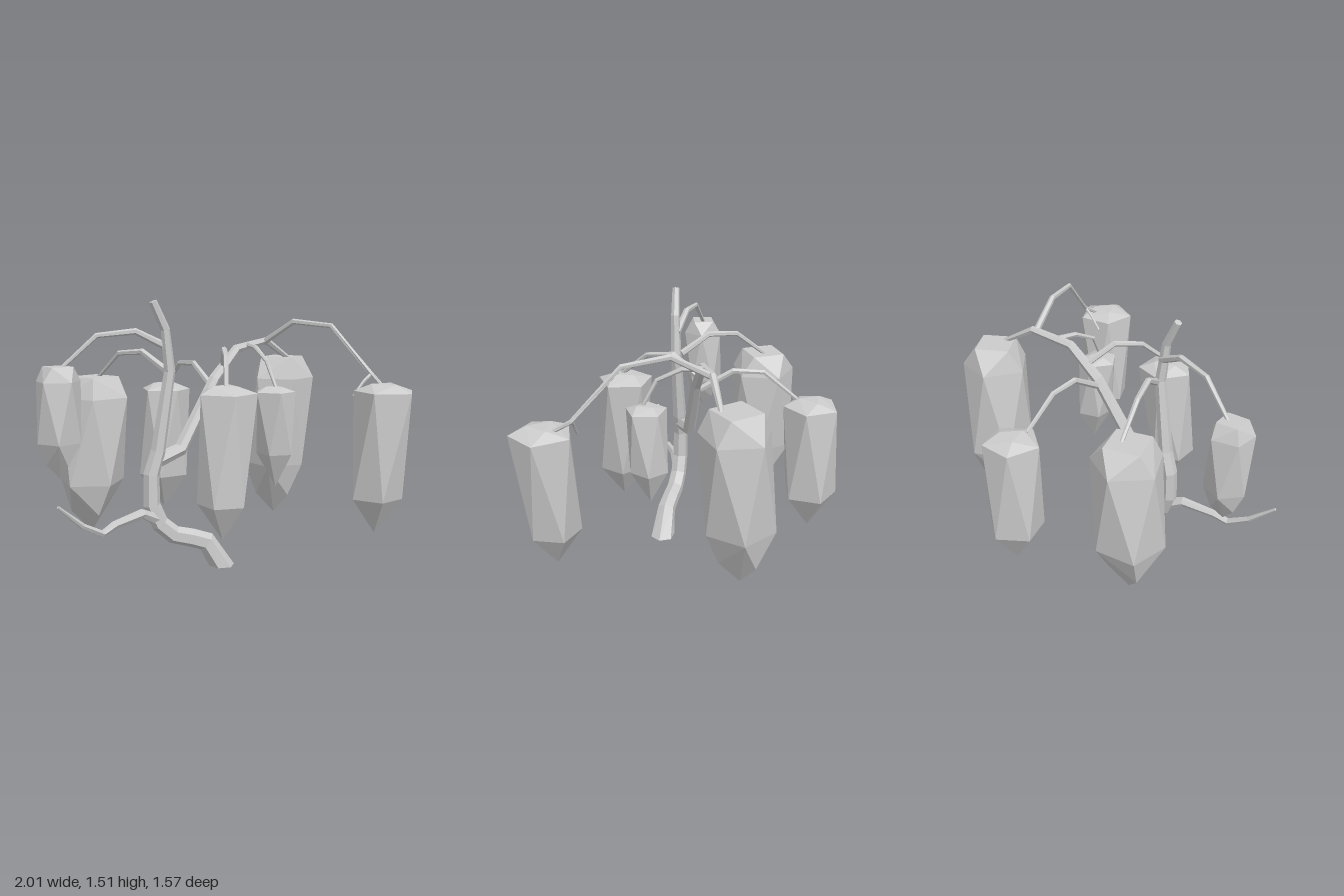
import * as THREE from 'three';
import { ConvexGeometry } from 'three/addons/geometries/ConvexGeometry.js';

const material = new THREE.MeshStandardMaterial({ color: 0xcccccc, flatShading: true });
const UP = new THREE.Vector3(0, 1, 0);

// Six-sided tapering limb swept through stations [x, y, z, radius]
function limb(name, stations) {
  const n = stations.length;
  const pts = stations.map(s => new THREE.Vector3(s[0], s[1], s[2]));
  const turns = pts.map((p, i) => {
    const ahead = pts[Math.min(i + 1, n - 1)].clone().sub(p).normalize();
    const behind = p.clone().sub(pts[Math.max(i - 1, 0)]).normalize();
    return new THREE.Quaternion().setFromUnitVectors(UP, ahead.add(behind).normalize());
  });
  // A limb rooted at ground level is cut flat
  if (pts[0].y === 0) turns[0].identity();
  const geo = new THREE.CylinderGeometry(1, 1, 1, 6, n - 1, false, Math.PI / 6);
  const pos = geo.attributes.position;
  const v = new THREE.Vector3();
  for (let i = 0; i < pos.count; i++) {
    const row = Math.round((pos.getY(i) + 0.5) * (n - 1));
    v.set(pos.getX(i), 0, pos.getZ(i)).multiplyScalar(stations[row][3]);
    v.applyQuaternion(turns[row]).add(pts[row]);
    pos.setXYZ(i, v.x, v.y, v.z);
  }
  geo.computeVertexNormals();
  const mesh = new THREE.Mesh(geo, material);
  mesh.name = name;
  return mesh;
}

// Twig whose radius shrinks evenly along its points
function twig(name, r0, r1, points) {
  const last = points.length - 1;
  return limb(name, points.map((p, i) => [...p, r0 + (r1 - r0) * i / last]));
}

// Pod profiles from the tip up: [height fraction, radius fraction, corner count]
const blunt = (low, lowRadius) => [[0, 0, 1], [low, lowRadius, 5], [0.95, 1, 5], [1, 0.45, 3]];
const ROUND = [[0, 0, 1], [0.13, 0.6, 3], [0.33, 0.98, 5], [0.87, 1, 5], [1, 0.7, 4]];

// Faceted hanging pod; its axis leans from the tip [x, z] to the crown [x, z]
function pod(name, profile, { tip, crown, y, r, spin }) {
  const points = [];
  profile.forEach(([h, radius, count], level) => {
    const t = THREE.MathUtils.smoothstep(h, 0.15, 0.9);
    const cx = THREE.MathUtils.lerp(tip[0], crown[0], t);
    const cz = THREE.MathUtils.lerp(tip[1], crown[1], t);
    for (let i = 0; i < count; i++) {
      const a = THREE.MathUtils.degToRad(spin + 36 * (level % 2)) + i * Math.PI * 2 / count;
      points.push(new THREE.Vector3(
        cx + Math.cos(a) * r * radius, y[0] + (y[1] - y[0]) * h, cz + Math.sin(a) * r * radius));
    }
  });
  const mesh = new THREE.Mesh(new ConvexGeometry(points), material);
  mesh.name = name;
  return mesh;
}

export function createModel() {
  const model = new THREE.Group();
  model.name = 'podTree';

  // Crooked trunk and heavy limbs
  model.add(limb('trunk', [
    [0.02, 0, 0.25, 0.074], [-0.07, 0.145, 0.25, 0.056], [-0.16, 0.175, 0.25, 0.053],
    [-0.26, 0.2, 0.25, 0.052], [-0.34, 0.27, 0.25, 0.05], [-0.385, 0.38, 0.25, 0.048],
    [-0.385, 0.55, 0.245, 0.046], [-0.345, 0.68, 0.24, 0.042], [-0.275, 1.12, 0.235, 0.032],
    [-0.3, 1.35, 0.245, 0.026], [-0.37, 1.5, 0.26, 0.022]]));
  model.add(limb('mainBranch', [
    [-0.36, 0.62, 0.23, 0.042], [-0.19, 0.665, 0.13, 0.04], [0.04, 1.05, 0.02, 0.033],
    [0.2, 1.22, -0.06, 0.027], [0.43, 1.26, -0.18, 0.022], [0.63, 1.13, -0.28, 0.014]]));
  model.add(limb('lowBranch', [
    [-0.36, 0.3, 0.26, 0.035], [-0.45, 0.35, 0.31, 0.028], [-0.62, 0.325, 0.41, 0.022],
    [-0.69, 0.295, 0.455, 0.02], [-0.8, 0.36, 0.51, 0.016], [-0.93, 0.485, 0.58, 0.008]]));

  // Arching twigs that carry the pods
  const twigs = new THREE.Group();
  twigs.name = 'twigs';
  twigs.add(
    twig('backRightTwig', 0.021, 0.012, [[-0.28, 1.12, 0.2], [-0.39, 1.22, 0.06], [-0.5, 1.205, -0.09], [-0.6, 1.05, -0.26]]),
    twig('farRightTwig', 0.022, 0.011, [[-0.28, 1.25, 0.23], [-0.46, 1.34, 0.22], [-0.67, 1.32, 0.22], [-0.86, 1.15, 0.22]]),
    twig('backTwig', 0.02, 0.012, [[0.02, 1.02, 0], [-0.03, 1.13, -0.18], [-0.08, 1.12, -0.35], [-0.12, 0.96, -0.54]]),
    twig('frontTwig', 0.02, 0.012, [[0.11, 1.12, -0.02], [0.06, 1.23, 0.15], [0.02, 1.2, 0.32], [-0.03, 1.05, 0.5]]),
    twig('innerLeftTwig', 0.017, 0.01, [[0.28, 1.24, -0.1], [0.29, 1.23, 0.03], [0.31, 1.16, 0.17], [0.345, 1.0, 0.25]]),
    twig('farLeftTwig', 0.02, 0.01, [[0.41, 1.25, -0.17], [0.53, 1.38, 0.02], [0.68, 1.36, 0.23], [0.83, 1.1, 0.45], [0.85, 1.04, 0.55]]),
    twig('forkTwig', 0.01, 0.007, [[0.83, 1.1, 0.45], [0.78, 1.06, 0.46], [0.71, 0.98, 0.475]]));
  model.add(twigs);

  // Hanging pods
  const pods = new THREE.Group();
  pods.name = 'pods';
  pods.add(
    pod('backPod', blunt(0.27, 1), { tip: [-0.12, -0.64], crown: [-0.11, -0.63], y: [0.14, 0.97], r: 0.163, spin: -70 }),
    pod('frontPod', blunt(0.24, 0.84), { tip: [-0.055, 0.525], crown: [-0.02, 0.475], y: [0.23, 1.06], r: 0.165, spin: 18 }),
    pod('farLeftPod', blunt(0.24, 0.84), { tip: [0.8, 0.6], crown: [0.835, 0.615], y: [0.23, 1.06], r: 0.172, spin: -79 }),
    pod('innerLeftPod', blunt(0.34, 0.92), { tip: [0.36, 0.205], crown: [0.34, 0.225], y: [0.43, 1.02], r: 0.12, spin: 20 }),
    pod('backRightPod', ROUND, { tip: [-0.66, -0.23], crown: [-0.625, -0.235], y: [0.12, 1.06], r: 0.203, spin: -79 }),
    pod('backLeftPod', ROUND, { tip: [0.56, -0.37], crown: [0.595, -0.345], y: [0.12, 1.15], r: 0.203, spin: -93 }),
    pod('farRightPod', ROUND, { tip: [-0.88, 0.225], crown: [-0.88, 0.23], y: [0.55, 1.16], r: 0.124, spin: 25 }));
  model.add(pods);
  return model;
}
